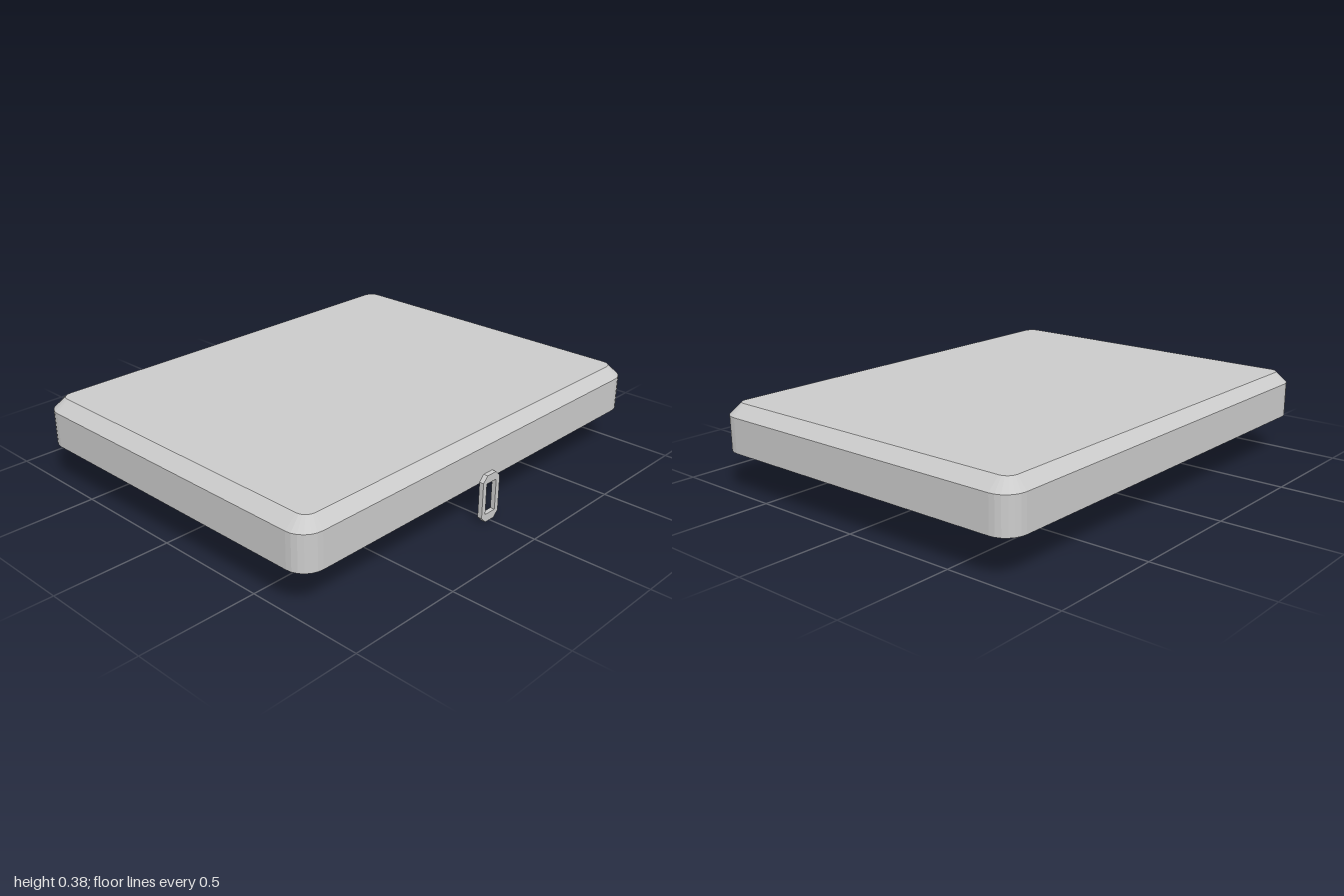
import * as THREE from 'three';

const material = new THREE.MeshStandardMaterial({ color: 0xcccccc, flatShading: true, side: THREE.DoubleSide });
const CORNER_STEPS = 6;

// Rounded rectangle in the xz plane at height y
function ring({ y, hx, hz, r }) {
  const points = [];
  for (let corner = 0; corner < 4; corner++) {
    const sx = corner === 0 || corner === 3 ? 1 : -1;
    const sz = corner < 2 ? 1 : -1;
    for (let i = 0; i <= CORNER_STEPS; i++) {
      const a = (corner + i / CORNER_STEPS) * Math.PI / 2;
      points.push(new THREE.Vector3(
        sx * (hx - r) + r * Math.cos(a), y, sz * (hz - r) + r * Math.sin(a)));
    }
  }
  return points;
}

// Skin through successive rings, leaving out collapsed triangles
function loft(sections) {
  const rings = sections.map(ring);
  const positions = [];
  const addTriangle = (a, b, c) => {
    if (new THREE.Triangle(a, b, c).getArea() < 1e-8) return;
    for (const p of [a, b, c]) positions.push(p.x, p.y, p.z);
  };
  for (let k = 0; k < rings.length - 1; k++) {
    const a = rings[k], b = rings[k + 1];
    for (let i = 0; i < a.length; i++) {
      const j = (i + 1) % a.length;
      addTriangle(a[i], b[i], a[j]);
      addTriangle(b[i], b[j], a[j]);
    }
  }
  const geometry = new THREE.BufferGeometry();
  geometry.setAttribute('position', new THREE.Float32BufferAttribute(positions, 3));
  geometry.computeVertexNormals();
  return geometry;
}

// Rectangle outline with cut corners
function chamferedRect(path, hw, hh, c) {
  path.moveTo(hw, -hh + c);
  path.lineTo(hw, hh - c);
  path.lineTo(hw - c, hh);
  path.lineTo(-hw + c, hh);
  path.lineTo(-hw, hh - c);
  path.lineTo(-hw, -hh + c);
  path.lineTo(-hw + c, -hh);
  path.lineTo(hw - c, -hh);
  path.closePath();
  return path;
}

export function createModel() {
  const model = new THREE.Group();

  // Tray-like lid: recess ceiling, recess walls, rim, outer walls, bevel, top
  const lid = new THREE.Mesh(loft([
    { y: 0.275, hx: 0, hz: 0, r: 0 },
    { y: 0.275, hx: 0.642, hz: 0.87, r: 0 },
    { y: 0.175, hx: 0.642, hz: 0.87, r: 0 },
    { y: 0.175, hx: 0.772, hz: 1, r: 0.09 },
    { y: 0.327, hx: 0.772, hz: 1, r: 0.09 },
    { y: 0.375, hx: 0.727, hz: 0.947, r: 0.045 },
    { y: 0.375, hx: 0, hz: 0, r: 0 },
  ]), material);
  lid.name = 'lid';
  lid.position.x = -0.01;
  model.add(lid);

  // Hanging latch loop on the left side
  const outline = chamferedRect(new THREE.Shape(), 0.052, 0.103, 0.025);
  const hole = new THREE.Path();
  hole.moveTo(-0.03, -0.068);
  hole.lineTo(-0.03, 0.068);
  hole.lineTo(0.03, 0.068);
  hole.lineTo(0.03, -0.068);
  hole.closePath();
  outline.holes.push(hole);
  const latch = new THREE.Mesh(
    new THREE.ExtrudeGeometry(outline, { depth: 0.02, bevelEnabled: false }), material);
  latch.name = 'latchLoop';
  latch.rotation.y = Math.PI / 2;
  latch.position.set(0.762, 0.103, 0);
  model.add(latch);

  return model;
}
